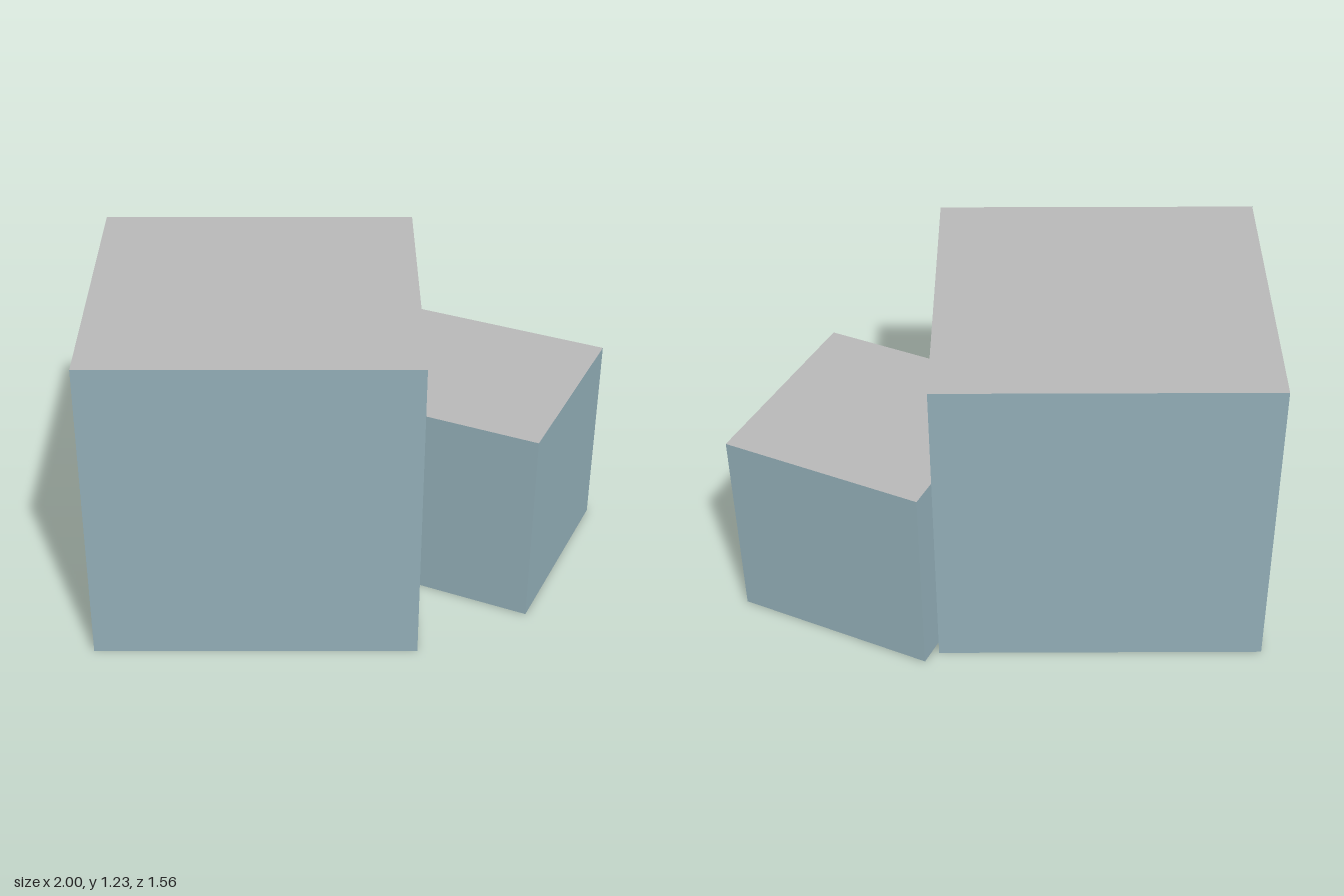
import * as THREE from 'three';

const wallPaint = new THREE.MeshStandardMaterial({ color: 0x92aeb7, side: THREE.DoubleSide });
wallPaint.name = 'blue grey wall';
const roofPaint = new THREE.MeshStandardMaterial({ color: 0xb8b8b8, side: THREE.DoubleSide });
roofPaint.name = 'grey roof';

// A square block: four walls and a flat roof, open underneath
function block(name, size, height, x, z, turn) {
  const group = new THREE.Group();
  group.name = name;

  // Keep only the four side faces of the box (six indices per face)
  const sides = new THREE.BoxGeometry(size, height, size);
  const index = Array.from(sides.index.array);
  sides.setIndex([...index.slice(0, 12), ...index.slice(24, 36)]);
  sides.clearGroups();
  const walls = new THREE.Mesh(sides, wallPaint);
  walls.name = name + 'Walls';
  walls.position.y = height / 2;

  const roof = new THREE.Mesh(new THREE.PlaneGeometry(size, size).rotateX(-Math.PI / 2), roofPaint);
  roof.name = name + 'Roof';
  roof.position.y = height;

  group.add(walls, roof);
  group.position.set(x, 0, z);
  group.rotation.y = turn;
  return group;
}

export function createModel() {
  const model = new THREE.Group();
  model.name = 'building';
  model.add(
    block('mainBlock', 1.226, 1.23, -0.249, 0.026, 0.261),
    block('sideBlock', 0.787, 0.79, 0.542, -0.325, -0.175),
  );
  return model;
}
